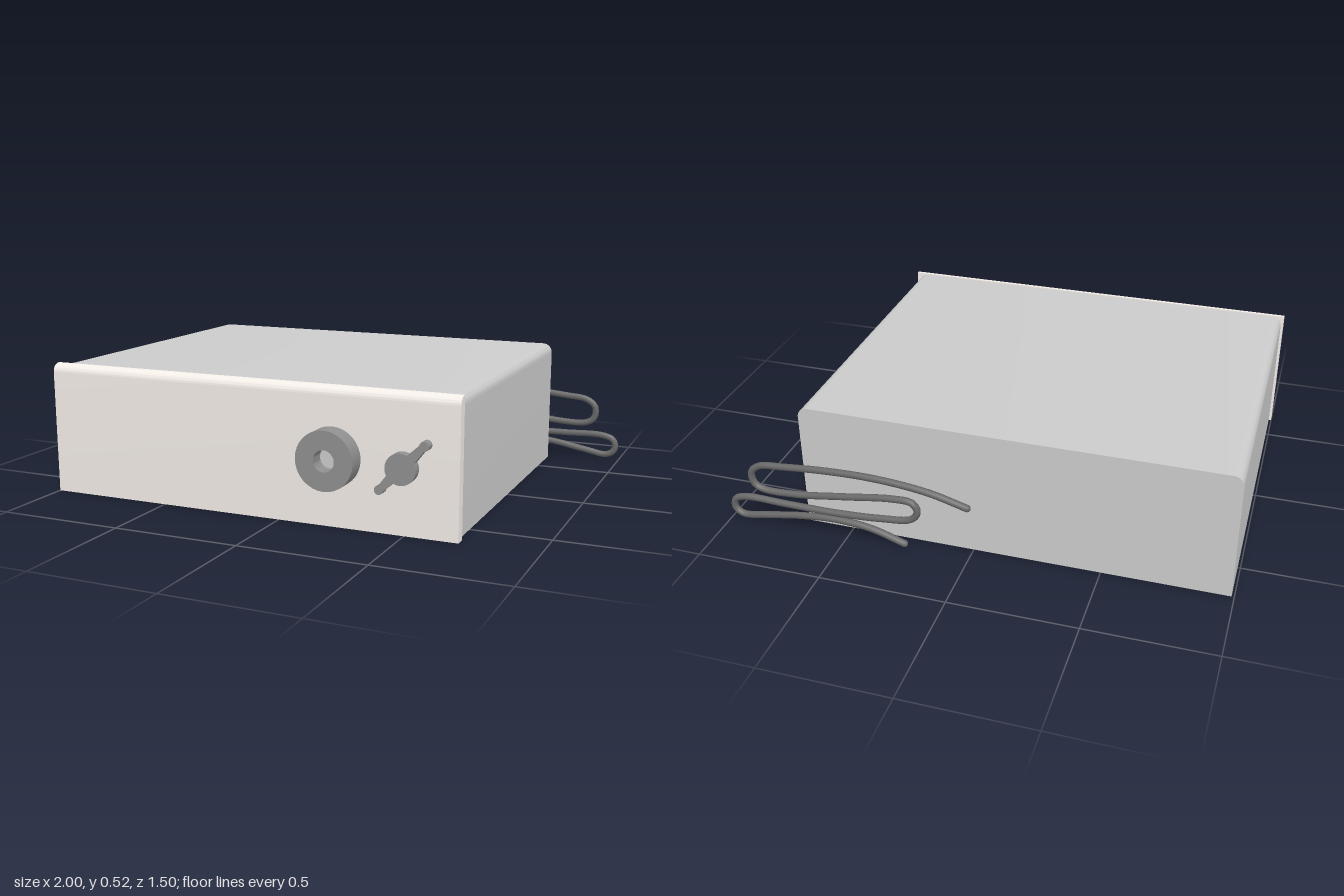
import * as THREE from 'three';
import { toCreasedNormals } from 'three/addons/utils/BufferGeometryUtils.js';

const paint = (color) => new THREE.MeshStandardMaterial({ color });
const v2 = (x, y) => new THREE.Vector2(x, y);

function addMesh(parent, name, geometry, material) {
  const mesh = new THREE.Mesh(geometry, material);
  mesh.name = name;
  parent.add(mesh);
  return mesh;
}

// Smooth-walled prism running from z0 to z1
function prism(shape, z0, z1) {
  const geometry = new THREE.ExtrudeGeometry(shape, {
    depth: z1 - z0, bevelEnabled: false, curveSegments: 10,
  });
  geometry.translate(0, 0, z0);
  return toCreasedNormals(geometry, 0.6);
}

// Rectangle standing on y = 0 with chosen top corner radii
function topRounded(x0, x1, h, leftR, rightR) {
  const s = new THREE.Shape();
  s.moveTo(x0, 0);
  s.lineTo(x1, 0);
  s.lineTo(x1, h - rightR);
  if (rightR) s.absarc(x1 - rightR, h - rightR, rightR, 0, Math.PI / 2, false);
  s.lineTo(x0 + leftR, h);
  if (leftR) s.absarc(x0 + leftR, h - leftR, leftR, Math.PI / 2, Math.PI, false);
  s.lineTo(x0, 0);
  return s;
}

export function createModel() {
  const model = new THREE.Group();
  model.name = 'controlBox';
  const bodyMat = paint(0xcccccc);
  const panelMat = paint(0xf3ede8);
  const knobMat = paint(0x909090);
  const wireMat = paint(0x686868);

  // Housing, with softened upper side edges
  addMesh(model, 'housing', prism(topRounded(-0.99, 0.693, 0.52, 0.04, 0.04), -0.675, 0.632), bodyMat);

  // Front panel: side profile rounded at the top front edge, swept along x
  const panelGeo = prism(topRounded(-0.67, -0.63, 0.525, 0.034, 0), -1, 0.706);
  panelGeo.rotateY(Math.PI / 2);
  // the sweep axis z becomes x and the profile x becomes -z
  addMesh(model, 'frontPanel', panelGeo, panelMat);

  // Round knob with a socket in its face
  const dial = new THREE.Group();
  dial.name = 'roundKnob';
  dial.position.set(0.22, 0.265, 0.668);
  model.add(dial);
  const ring = [v2(0.041, 0.015), v2(0.041, 0.077), v2(0.113, 0.077), v2(0.113, 0), v2(0, 0)].reverse();
  const dialGeo = new THREE.LatheGeometry([...ring, v2(0, 0.015)], 32);
  dialGeo.rotateX(Math.PI / 2);
  addMesh(dial, 'knobBody', toCreasedNormals(dialGeo, 0.6), knobMat);
  const socket = addMesh(dial, 'knobSocket', new THREE.CircleGeometry(0.041, 24), bodyMat);
  socket.position.z = 0.017;

  // Wing knob: hub outline with two tapering wings, on a short shaft
  const wingKnob = new THREE.Group();
  wingKnob.name = 'wingKnob';
  wingKnob.position.set(0.512, 0.265, 0);
  model.add(wingKnob);
  const hubR = 0.058, half = 0.32;
  const s = new THREE.Shape();
  s.absarc(0, 0, hubR, half, Math.PI - half, false);
  s.lineTo(-0.11, 0.012);
  s.absarc(-0.115, 0, 0.017, Math.PI * 0.3, Math.PI * 1.7, false);
  s.absarc(0, 0, hubR, Math.PI + half, Math.PI * 2 - half, false);
  s.lineTo(0.112, -0.012);
  s.absarc(0.126, 0, 0.018, -Math.PI * 0.7, Math.PI * 0.7, false);
  s.closePath();
  const wings = addMesh(wingKnob, 'knobWings', prism(s, 0.71, 0.745), knobMat);
  wings.rotation.z = 0.8;
  const shaftGeo = new THREE.CylinderGeometry(0.038, 0.038, 0.05, 20);
  shaftGeo.rotateX(Math.PI / 2);
  const shaft = addMesh(wingKnob, 'knobShaft', shaftGeo, knobMat);
  shaft.position.z = 0.69;

  // Bent wire behind the housing, one continuous serpentine
  const wirePoints = [
    [0.0, 0.235], [0.15, 0.275], [0.35, 0.297], [0.55, 0.296], [0.75, 0.28], [0.85, 0.267],
    [0.887, 0.235], [0.883, 0.185], [0.85, 0.162], [0.7, 0.162], [0.5, 0.19], [0.3, 0.219],
    [0.22, 0.215], [0.2, 0.18], [0.225, 0.14], [0.35, 0.118], [0.55, 0.106], [0.75, 0.107], [0.93, 0.108],
    [0.975, 0.09], [0.982, 0.05], [0.95, 0.023], [0.85, 0.036], [0.7, 0.062],
    [0.55, 0.075], [0.4, 0.062], [0.26, 0.018],
  ].map(([x, y]) => new THREE.Vector3(x, y, -0.737));
  const wireR = 0.014;
  const path = new THREE.CatmullRomCurve3(wirePoints);
  const wire = new THREE.Group();
  wire.name = 'wire';
  model.add(wire);
  addMesh(wire, 'bentWire', new THREE.TubeGeometry(path, 180, wireR, 8), wireMat);
  for (const p of [wirePoints[0], wirePoints.at(-1)]) {
    addMesh(wire, 'wireTip', new THREE.SphereGeometry(wireR, 10, 8), wireMat).position.copy(p);
  }

  return model;
}
